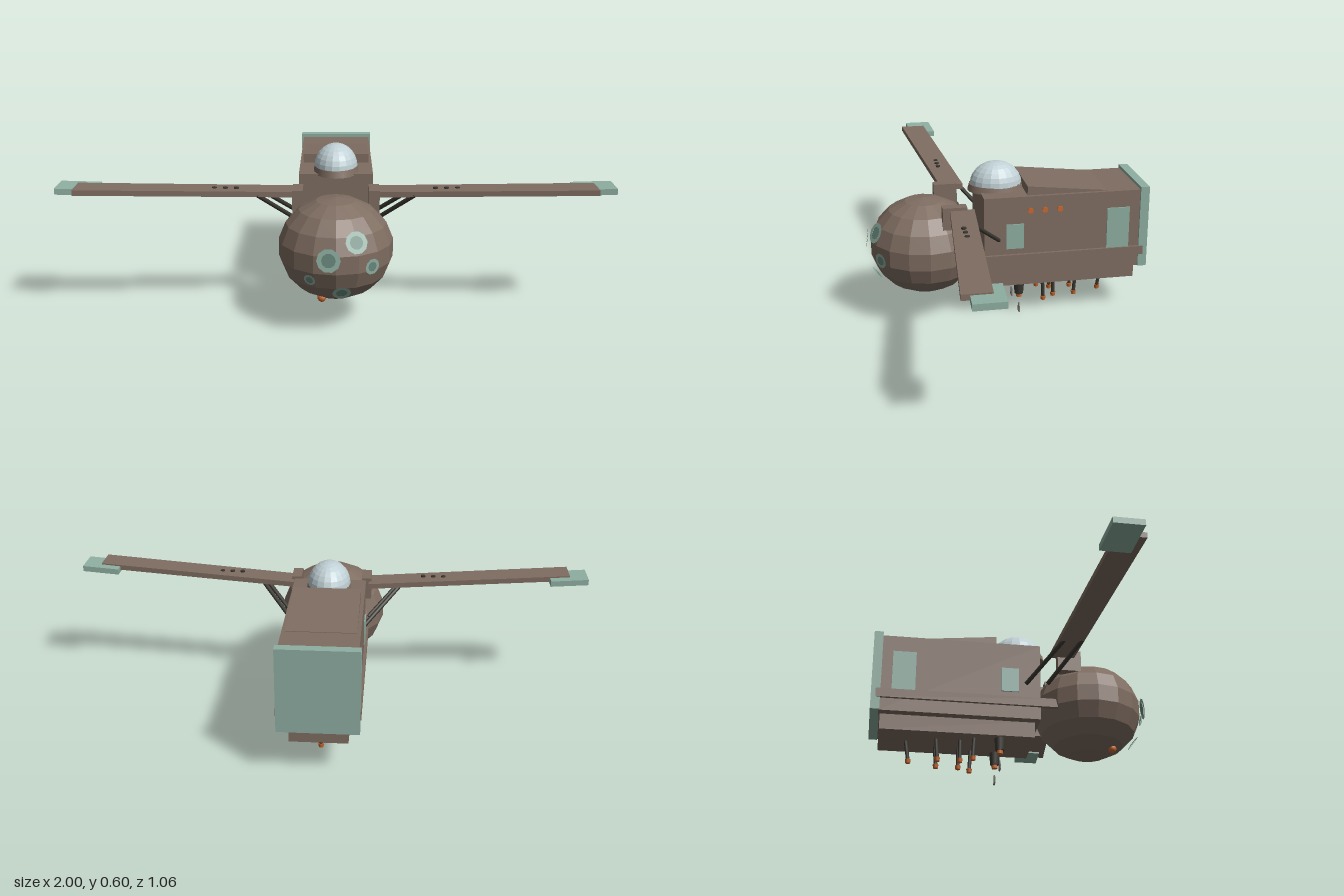
import * as THREE from 'three';

const mat = (name, color, side = THREE.FrontSide) => {
  const m = new THREE.MeshStandardMaterial({ color, side });
  m.name = name;
  return m;
};

// Faceted normals for a low-poly look
const facet = (geo) => {
  const g = geo.index ? geo.toNonIndexed() : geo;
  g.computeVertexNormals();
  return g;
};

// Box whose unit-cube vertices are moved by a rule
const shapedBox = (rule) => {
  const geo = new THREE.BoxGeometry(1, 1, 1);
  const p = geo.attributes.position;
  for (let i = 0; i < p.count; i++) p.setXYZ(i, ...rule(p.getX(i), p.getY(i), p.getZ(i)));
  return facet(geo);
};

export function createModel() {
  const root = new THREE.Group();
  root.name = 'flyingMachine';
  const hull = mat('hullBrown', 0x7f6d61);
  const green = mat('paleGreen', 0x8fafa2, THREE.DoubleSide);
  const teal = mat('lensTeal', 0x68897d, THREE.DoubleSide);
  const dark = mat('darkMetal', 0x3b3831);
  const orange = mat('orangeLamp', 0xc8682f);
  const glass = mat('domeGlass', 0xc0d0d5);
  const steel = mat('greySteel', 0x77706a);
  const lerp = THREE.MathUtils.lerp;

  const add = (name, geo, material, pos = [0, 0, 0]) => {
    const m = new THREE.Mesh(geo, material);
    m.name = name;
    m.position.set(...pos);
    root.add(m);
    return m;
  };
  // Box given by its minimum and maximum corners
  const box = (name, material, a, b) =>
    add(name, new THREE.BoxGeometry(b[0] - a[0], b[1] - a[1], b[2] - a[2]), material,
      a.map((v, i) => (v + b[i]) / 2));
  // Round bar between two points
  const bar = (name, material, a, b, r, sides = 8) => {
    const from = new THREE.Vector3(...a), dir = new THREE.Vector3(...b).sub(from);
    const m = add(name, new THREE.CylinderGeometry(r, r, dir.length(), sides), material);
    m.position.copy(from).addScaledVector(dir, 0.5);
    m.quaternion.setFromUnitVectors(new THREE.Vector3(0, 1, 0), dir.normalize());
    return m;
  };

  // Cabin
  box('cabin', hull, [-0.138, 0.187, -0.5], [0.138, 0.495, 0.1]);
  box('lowerHull', hull, [-0.105, 0.127, -0.494], [0.105, 0.19, 0.083]);
  box('rearPanel', green, [-0.146, 0.187, -0.531], [0.146, 0.507, -0.497]);
  add('roofWedge', shapedBox((x, y, z) => [
    x * 0.25, y < 0 ? 0.485 : z > 0 ? 0.53 : 0.497, lerp(-0.37, -0.066, z + 0.5)]), hull);

  // Dome on its oval collar
  const collar = add('domeCollar', new THREE.CylinderGeometry(0.1, 0.107, 0.025, 20), hull, [0, 0.501, 0.034]);
  collar.scale.x = 0.8;
  const dome = add('dome', facet(new THREE.SphereGeometry(1, 18, 7, 0, Math.PI * 2, 0, Math.PI / 2)), glass, [0, 0.511, 0.032]);
  dome.scale.set(0.081, 0.085, 0.098);

  // Faceted nose ball
  const nose = add('noseBall', facet(new THREE.SphereGeometry(1, 16, 9)), hull, [0, 0.285, 0.308]);
  nose.scale.set(0.207, 0.185, 0.207);

  // Portholes: x, y, z, radius
  const portholes = [
    [-0.025, 0.31, 0.525, 0.042], [0.07, 0.365, 0.496, 0.04], [0.125, 0.275, 0.485, 0.029],
    [-0.09, 0.23, 0.496, 0.022], [0.02, 0.18, 0.492, 0.033],
  ];
  for (const [x, y, z, r] of portholes) {
    const port = new THREE.Group();
    port.name = 'porthole';
    port.position.set(x, y, z);
    port.lookAt(x * 2, y + (y - 0.285) * 1.2, z + (z - 0.308));
    const rim = new THREE.Mesh(new THREE.RingGeometry(r * 0.6, r, 10), green);
    rim.name = 'portholeRim';
    const lens = new THREE.Mesh(new THREE.CircleGeometry(r * 0.62, 10), teal);
    lens.name = 'portholeLens';
    lens.position.z = -0.002;
    port.add(rim, lens);
    root.add(port);
  }
  add('noseLamp', new THREE.SphereGeometry(0.016, 10, 8), orange, [-0.05, 0.122, 0.39]);

  for (const s of [1, -1]) {
    // Wing and its green tip, both swept and tapered
    add('wing', shapedBox((x, y, z) => {
      const t = s * x + 0.5;
      return [s * lerp(0.147, 0.932, t), lerp(0.453, 0.482, t) + y * 0.02,
        lerp(0.182, 0.254, t) + z * lerp(0.09, 0.098, t)];
    }), hull);
    add('wingTip', shapedBox((x, y, z) => {
      const t = s * x + 0.5;
      return [s * lerp(0.855, 1, t), lerp(0.473, 0.48, t) + y * 0.022, lerp(0.217, 0.227, t) + z * 0.105];
    }), green);
    const cx = s * 0.138;
    box('wingMount', hull, [cx - 0.019, 0.39, 0.165], [cx + 0.019, 0.475, 0.255]);
    for (const x of [0.36, 0.4, 0.44])
      add('wingStud', new THREE.CylinderGeometry(0.009, 0.009, 0.006, 8), dark, [s * x, 0.474, 0.208]);

    // Wing struts
    bar('strut', dark, [s * 0.285, 0.455, 0.235], [s * 0.15, 0.33, 0.125], 0.008);
    bar('strut', dark, [s * 0.275, 0.455, 0.168], [s * 0.138, 0.33, 0.045], 0.008);

    // Side rail with slanted nose, and side windows
    add('sideRail', shapedBox((x, y, z) => [
      s * 0.14 + x * 0.018, 0.253 + y * 0.034, z < 0 ? -0.514 : 0.16 - y * 0.008]), hull);
    box('frontSideWindow', green, [s * 0.14 - 0.003, 0.293, -0.05], [s * 0.14 + 0.003, 0.39, 0.017]);
    box('rearSideWindow', green, [s * 0.14 - 0.003, 0.27, -0.457], [s * 0.14 + 0.003, 0.43, -0.37]);

    // Belly winch with hanging triangular hook
    add('winch', new THREE.CylinderGeometry(0.021, 0.017, 0.05, 8), dark, [s * 0.075, 0.104, -0.045]);
    add('winchNozzle', new THREE.CylinderGeometry(0.011, 0.011, 0.016, 8), orange, [s * 0.075, 0.073, -0.045]);
    const hook = [[0, 0.037], [-0.012, 0.003], [0.012, 0.003]].map(([x, y]) => [s * 0.075 + x, y, -0.045]);
    hook.forEach((p, i) => bar('hookBar', steel, p, hook[(i + 1) % 3], 0.003, 6));
  }

  // Orange lamps on the left side
  for (const z of [-0.075, -0.13, -0.187]) {
    const lamp = add('sideLamp', new THREE.CylinderGeometry(0.011, 0.011, 0.008, 12), orange, [0.139, 0.44, z]);
    lamp.rotation.z = Math.PI / 2;
  }

  // Belly probes: x, top z, bottom z
  const probes = [
    [0.065, -0.14, -0.144], [-0.065, -0.14, -0.144], [0.036, -0.19, -0.19], [-0.036, -0.19, -0.19],
    [0.036, -0.28, -0.274], [-0.036, -0.28, -0.274], [0, -0.392, -0.38],
  ];
  for (const [x, z0, z1] of probes) {
    bar('probe', dark, [x, 0.13, z0], [x, 0.052, z1], 0.007);
    add('probeTip', new THREE.CylinderGeometry(0.011, 0.009, 0.015, 8), orange, [x, 0.046, z1]);
  }
  return root;
}
